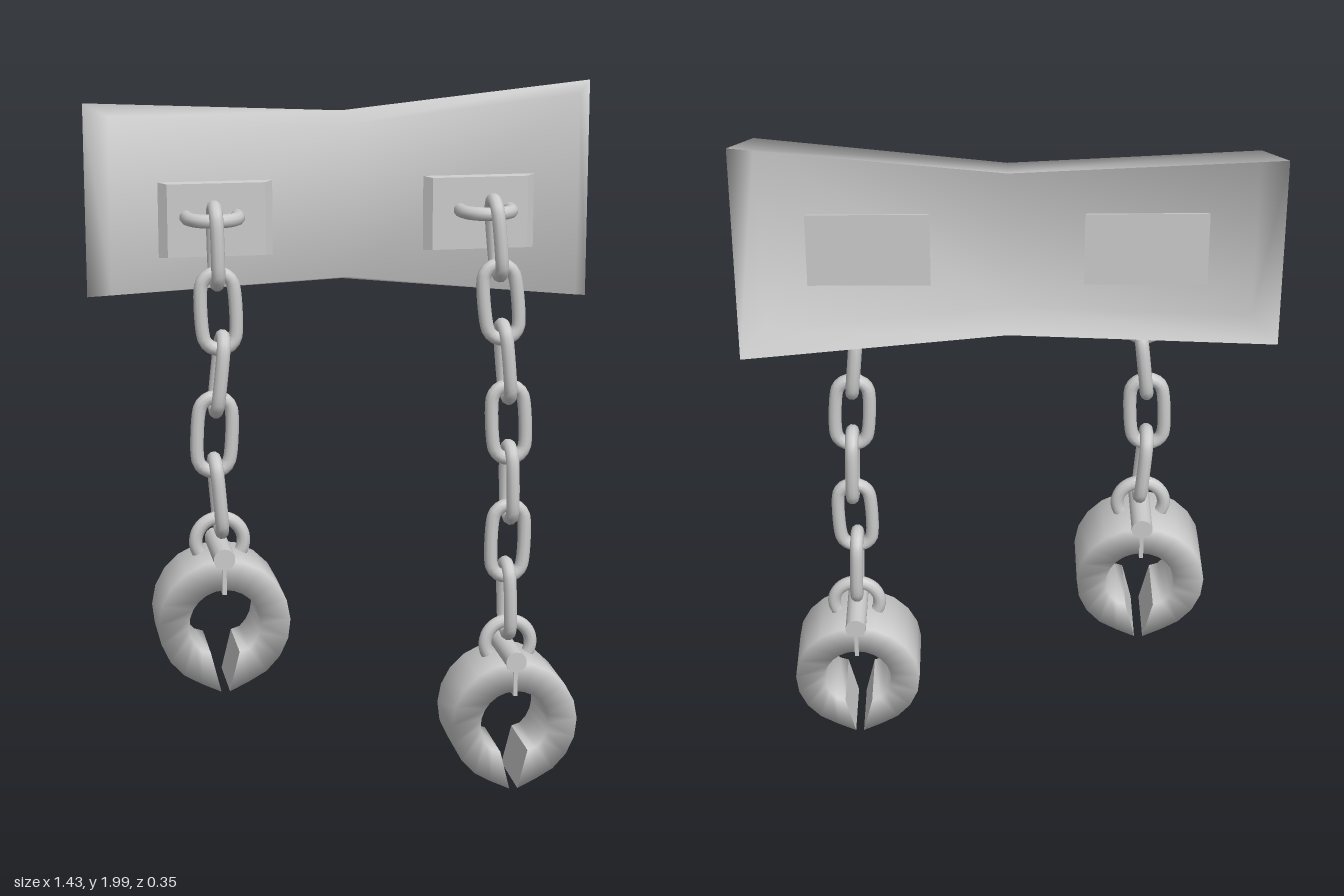
import * as THREE from 'three';

const mat = new THREE.MeshStandardMaterial({ color: 0xcccccc });
const matDouble = new THREE.MeshStandardMaterial({ color: 0xcccccc, side: THREE.DoubleSide });
const TUBE = 0.019;
const CHAIN_Z = 0.064;

function mesh(name, geo, material = mat) {
  const m = new THREE.Mesh(geo, material);
  m.name = name;
  return m;
}

function indexed(points, index) {
  const g = new THREE.BufferGeometry();
  g.setAttribute('position', new THREE.Float32BufferAttribute(points.flat(), 3));
  g.setIndex(index);
  g.computeVertexNormals();
  return g;
}

// Open-backed shell: a wide back rim tapering to a smaller front panel, smooth shaded
function boardGeometry() {
  const back = [[-0.72, 1.42], [0, 1.452], [0.715, 1.38], [0.715, 2.0], [0, 1.927], [-0.72, 1.96]];
  const points = back.map(([x, y]) => [x, y, -0.172]);
  back.forEach(([x, y], i) => points.push([x * 0.917, y + (i < 3 ? 0.025 : -0.025), -0.057]));
  const index = [6, 7, 10, 6, 10, 11, 7, 8, 9, 7, 9, 10];
  for (let i = 0; i < 6; i++) {
    const j = (i + 1) % 6;
    index.push(i, j, j + 6, i, j + 6, i + 6);
  }
  return indexed(points, index);
}

// Shallow bevelled plate that carries a staple
function plateGeometry() {
  const g = new THREE.BoxGeometry(0.33, 0.21, 0.03);
  const p = g.attributes.position;
  for (let i = 0; i < p.count; i++) {
    if (p.getZ(i) > 0) p.setXY(i, p.getX(i) * 0.82, p.getY(i) * 0.96);
  }
  g.computeVertexNormals();
  return g;
}

// Horizontal U-shaped staple
function stapleGeometry() {
  const pts = [new THREE.Vector3(-0.07, 0, -0.058)];
  for (let i = 0; i <= 8; i++) {
    const a = Math.PI * (1 - i / 8);
    pts.push(new THREE.Vector3(0.07 * Math.cos(a), 0, -0.012 + 0.068 * Math.sin(a)));
  }
  pts.push(new THREE.Vector3(0.07, 0, -0.058));
  return new THREE.TubeGeometry(new THREE.CatmullRomCurve3(pts), 24, TUBE, 10);
}

// Oval chain link lying in the xy plane
function linkGeometry() {
  const pts = [];
  for (const side of [1, -1]) {
    for (let i = 0; i <= 6; i++) {
      const a = Math.PI * i / 6;
      pts.push(new THREE.Vector3(side * 0.046 * Math.cos(a), side * (0.06 + 0.046 * Math.sin(a)), 0));
    }
  }
  return new THREE.TubeGeometry(new THREE.CatmullRomCurve3(pts, true), 36, TUBE, 10, true);
}

// C-shaped band with four-cornered section, open at the bottom
function cuffBandGeometry() {
  const N = 20, points = [], index = [], w = 0.1;
  for (let i = 0; i <= N; i++) {
    const t = (i / N) * 2 - 1;
    const end = i === 0 || i === N;
    const ao = t * (Math.PI - 0.06), ai = t * (Math.PI - 0.45);
    const R = end ? 0.198 : 0.184, r = end ? 0.092 : 0.099;
    const ox = R * Math.sin(ao), oy = R * Math.cos(ao);
    const ix = r * Math.sin(ai), iy = r * Math.cos(ai);
    points.push([ox, oy, w], [ox, oy, -w], [ix, iy, -w], [ix, iy, w]);
  }
  for (let i = 0; i < N; i++) {
    for (let k = 0; k < 4; k++) {
      const a = i * 4 + k, b = i * 4 + (k + 1) % 4;
      index.push(a, a + 4, b, b, a + 4, b + 4);
    }
  }
  // end caps on their own corners
  const first = points.slice(0, 4), last = points.slice(-4), s = points.length;
  points.push(...first, ...last);
  index.push(s, s + 1, s + 2, s, s + 2, s + 3, s + 4, s + 6, s + 5, s + 4, s + 7, s + 6);
  return indexed(points, index);
}

function makeCuff(name, x, y) {
  const g = new THREE.Group();
  g.name = name;
  g.position.set(x, y, CHAIN_Z);
  g.add(mesh('cuffBand', cuffBandGeometry(), matDouble));

  const pin = mesh('hingePin', new THREE.CylinderGeometry(0.03, 0.03, 0.225, 14), mat);
  pin.rotation.x = Math.PI / 2;
  pin.position.y = 0.19;
  g.add(pin);

  const fin = mesh('hingeFin', new THREE.BoxGeometry(0.012, 0.09, 0.212), mat);
  fin.position.y = 0.132;
  g.add(fin);

  const loop = mesh('cuffLoop', new THREE.TorusGeometry(0.067, TUBE, 10, 24, Math.PI * 1.3));
  loop.rotation.z = -Math.PI * 0.15;
  loop.position.y = 0.213;
  g.add(loop);
  return g;
}

// Links alternate between facing sideways and facing forward; each entry is x, y, tilt
function makeChain(name, links) {
  const g = new THREE.Group();
  g.name = name;
  const geo = linkGeometry();
  links.forEach(([x, y, tilt], i) => {
    const link = mesh('chainLink' + (i + 1), geo);
    link.position.set(x, y, CHAIN_Z);
    link.rotation.order = 'ZYX';
    link.rotation.set(0, i % 2 === 0 ? Math.PI / 2 : 0, tilt);
    g.add(link);
  });
  return g;
}

export function createModel() {
  const model = new THREE.Group();
  model.name = 'wallShackles';
  model.add(mesh('wallBoard', boardGeometry(), matDouble));

  for (const side of [-1, 1]) {
    const label = side < 0 ? 'right' : 'left';
    const plate = mesh(label + 'Plate', plateGeometry());
    plate.position.set(side * 0.37, 1.65, -0.049);
    const staple = mesh(label + 'Staple', stapleGeometry());
    staple.position.set(side * 0.383, 1.66, 0);
    model.add(plate, staple);
  }

  model.add(makeChain('rightChain', [
    [-0.385, 1.595, 0.02], [-0.38, 1.415, 0.04], [-0.38, 1.24, -0.11],
    [-0.395, 1.07, -0.05], [-0.388, 0.895, 0.08],
  ]));
  model.add(makeChain('leftChain', [
    [0.395, 1.595, 0.09], [0.41, 1.415, 0.1], [0.425, 1.245, 0.09],
    [0.437, 1.07, 0.05], [0.442, 0.895, 0.02], [0.44, 0.722, -0.03], [0.44, 0.55, 0.03],
  ]));
  model.add(makeCuff('rightCuff', -0.385, 0.551));
  model.add(makeCuff('leftCuff', 0.445, 0.203));
  return model;
}
